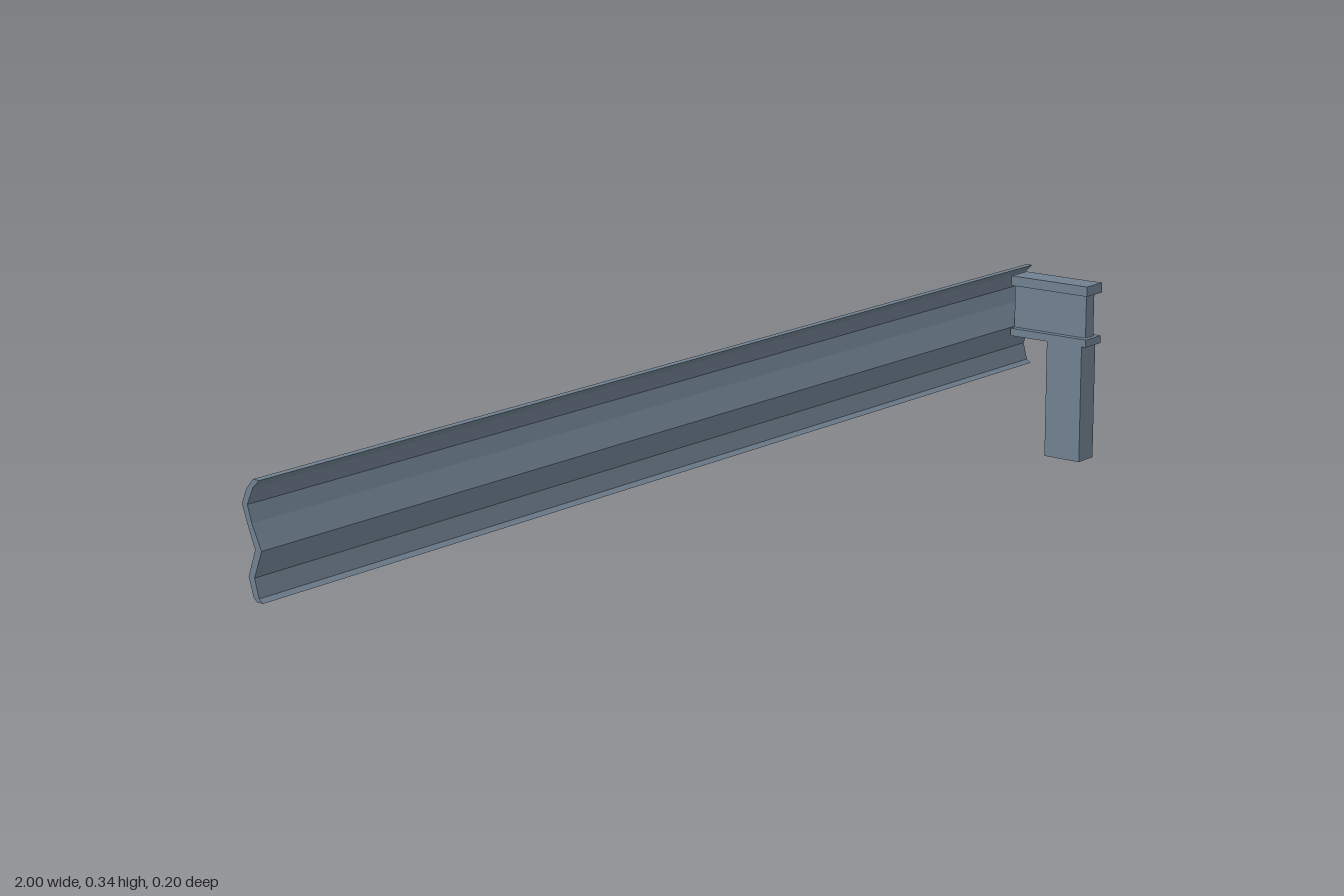
import * as THREE from 'three';

const steel = new THREE.MeshStandardMaterial({ color: 0x708090 });
steel.name = 'galvanised steel';

function shapeOf(points) {
  return new THREE.Shape(points.map(([a, b]) => new THREE.Vector2(a, b)));
}

function addMesh(parent, name, geometry) {
  const mesh = new THREE.Mesh(geometry, steel);
  mesh.name = name;
  parent.add(mesh);
  return mesh;
}

// Box given by its minimum and maximum corners
function block(parent, name, min, max) {
  const size = max.map((v, i) => v - min[i]);
  const mesh = addMesh(parent, name, new THREE.BoxGeometry(...size));
  mesh.position.set(...max.map((v, i) => (v + min[i]) / 2));
}

export function createModel() {
  const model = new THREE.Group();
  model.name = 'guardrail section';

  // Rail: double-wave profile, as [-z, y], swept along x
  const back = [
    [0.077, 0.337], [0.091, 0.321], [0.101, 0.297], [0.092, 0.27],
    [0.077, 0.231], [0.092, 0.188], [0.083, 0.158], [0.077, 0.152],
  ];
  const front = [
    [0.064, 0.152], [0.072, 0.158], [0.08, 0.188],
    [0.064, 0.231], [0.082, 0.27], [0.09, 0.297], [0.077, 0.325], [0.064, 0.337],
  ];
  const rail = new THREE.ExtrudeGeometry(shapeOf([...back, ...front]), { depth: 2, bevelEnabled: false });
  rail.translate(0, 0, -1).rotateY(Math.PI / 2);
  addMesh(model, 'rail', rail);

  // Post: channel section, as [x, -z], open towards +x
  const section = [
    [0.932, -0.091], [0.978, -0.091], [0.978, -0.077], [0.952, -0.073],
    [0.952, -0.036], [0.978, -0.033], [0.972, -0.016], [0.932, -0.016],
  ];
  const post = new THREE.ExtrudeGeometry(shapeOf(section), { depth: 0.216, bevelEnabled: false });
  post.rotateX(-Math.PI / 2);
  addMesh(model, 'post', post);

  // Spacer: short beam between post and rail
  const spacer = new THREE.Group();
  spacer.name = 'spacer';
  model.add(spacer);
  block(spacer, 'spacerWeb', [0.943, 0.23, -0.063], [0.969, 0.31, 0.092]);
  block(spacer, 'spacerLowerFlange', [0.93, 0.216, -0.063], [0.98, 0.23, 0.101]);
  block(spacer, 'spacerUpperFlange', [0.93, 0.31, -0.063], [0.98, 0.328, 0.101]);

  return model;
}
